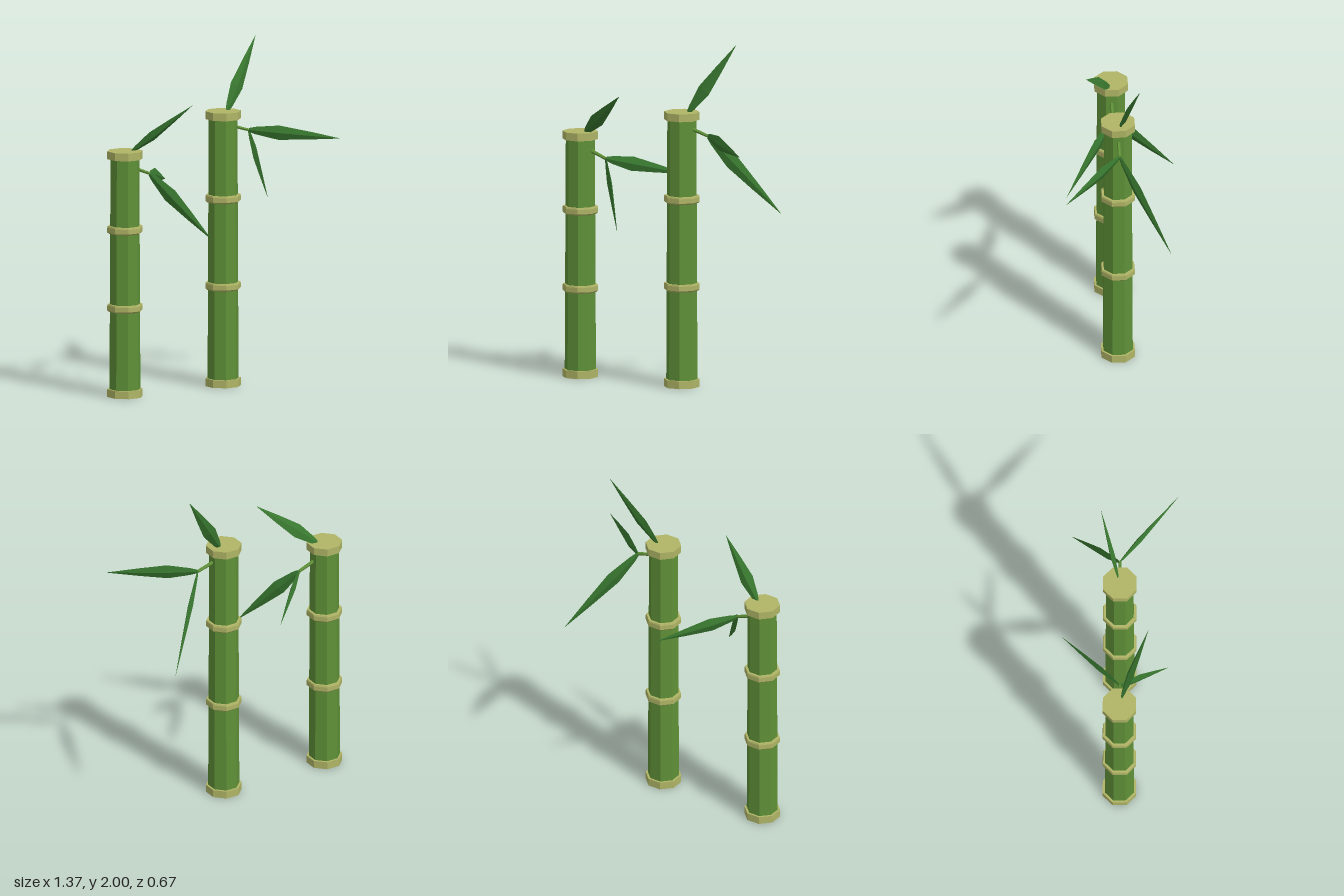
import * as THREE from 'three';

const mat = (color) => new THREE.MeshStandardMaterial({ color, flatShading: true });
const V = (x, y, z) => new THREE.Vector3(x, y, z);
const UP = V(0, 1, 0);
const RIGHT = V(1, 0, 0);

// Eight-sided solid from [radius to flat, height] pairs, flats facing the axes
function octagon(profile) {
  const k = 1 / Math.cos(Math.PI / 8);
  const points = profile.map(([r, y]) => new THREE.Vector2(r * k, y));
  return new THREE.LatheGeometry(points, 8).rotateY(Math.PI / 8);
}

// Leaf blade: thin diamond section, widest a third of the way along
function leafGeometry(length) {
  const outline = [[0, 0], [0.012, 0.01], [0.022, 0.08], [0.042, 0.33], [0.024, 0.65], [0, 1]];
  const points = outline.map(([r, t]) => new THREE.Vector2(r, t * length));
  return new THREE.LatheGeometry(points, 4).scale(1, 1, 0.35);
}

export function createModel() {
  const model = new THREE.Group();
  model.name = 'bambooStalks';
  const green = mat(0x5f9138);
  const tan = mat(0xb0b566);
  const leafGreen = mat(0x38772f);

  const add = (parent, name, geometry, material) => {
    const mesh = new THREE.Mesh(geometry, material);
    mesh.name = name;
    parent.add(mesh);
    return mesh;
  };

  // Leaf from base to tip; its blade plane contains the side axis
  const addLeaf = (parent, name, base, tip, sideAxis) => {
    const dir = tip.clone().sub(base);
    const leaf = add(parent, name, leafGeometry(dir.length()), leafGreen);
    dir.normalize();
    const normal = dir.clone().cross(sideAxis).normalize();
    const across = dir.clone().cross(normal);
    leaf.quaternion.setFromRotationMatrix(new THREE.Matrix4().makeBasis(across, dir, normal));
    leaf.position.copy(base);
  };

  const stalks = [
    {
      name: 'tallStalk', x: 0.09, rings: [0, 0.56, 1.07, 1.555],
      twig: [V(0.15, 1.508, 0), V(0.265, 1.473, 0)],
      sideTips: [V(0.68, 1.43, 0.335), V(0.59, 1.005, -0.28)],
      top: [V(0.125, 1.595, -0.01), V(0.39, 2, -0.11)],
    },
    {
      name: 'shortStalk', x: -0.59, rings: [0, 0.495, 0.95, 1.385],
      twig: [V(-0.53, 1.326, 0), V(-0.42, 1.283, 0)],
      sideTips: [V(-0.085, 1.175, -0.335), V(-0.175, 0.91, 0.28)],
      top: [V(-0.55, 1.425, 0.01), V(-0.23, 1.685, 0.165)],
    },
  ];

  for (const s of stalks) {
    const group = new THREE.Group();
    group.name = s.name;
    model.add(group);
    const height = s.rings[3] + 0.045;

    // Slightly tapering cane
    const cane = octagon([[0, 0.01], [0.084, 0.01], [0.078, height - 0.01], [0, height - 0.01]]);
    add(group, 'cane', cane, green).position.x = s.x;

    // Joint rings, the inner ones with a bevelled underside
    s.rings.forEach((y, i) => {
      const inner = i === 1 || i === 2;
      const ring = octagon([[0, 0], [inner ? 0.086 : 0.096, 0], [0.096, 0.009], [0.096, 0.036],
        [inner ? 0.093 : 0.096, 0.045], [0, 0.045]]);
      add(group, 'jointRing', ring, tan).position.set(s.x, y, 0);
    });

    // Twig with its two leaves
    const [a, b] = s.twig;
    const twigDir = b.clone().sub(a);
    const twig = add(group, 'twig', new THREE.CylinderGeometry(0.009, 0.011, twigDir.length(), 6), green);
    twig.position.copy(a).lerp(b, 0.5);
    twig.quaternion.setFromUnitVectors(UP, twigDir.normalize());
    s.sideTips.forEach((tip) => addLeaf(group, 'sideLeaf', b, tip, UP));

    // Leaf sprouting from the cut top
    addLeaf(group, 'topLeaf', s.top[0], s.top[1], RIGHT);
  }
  return model;
}
